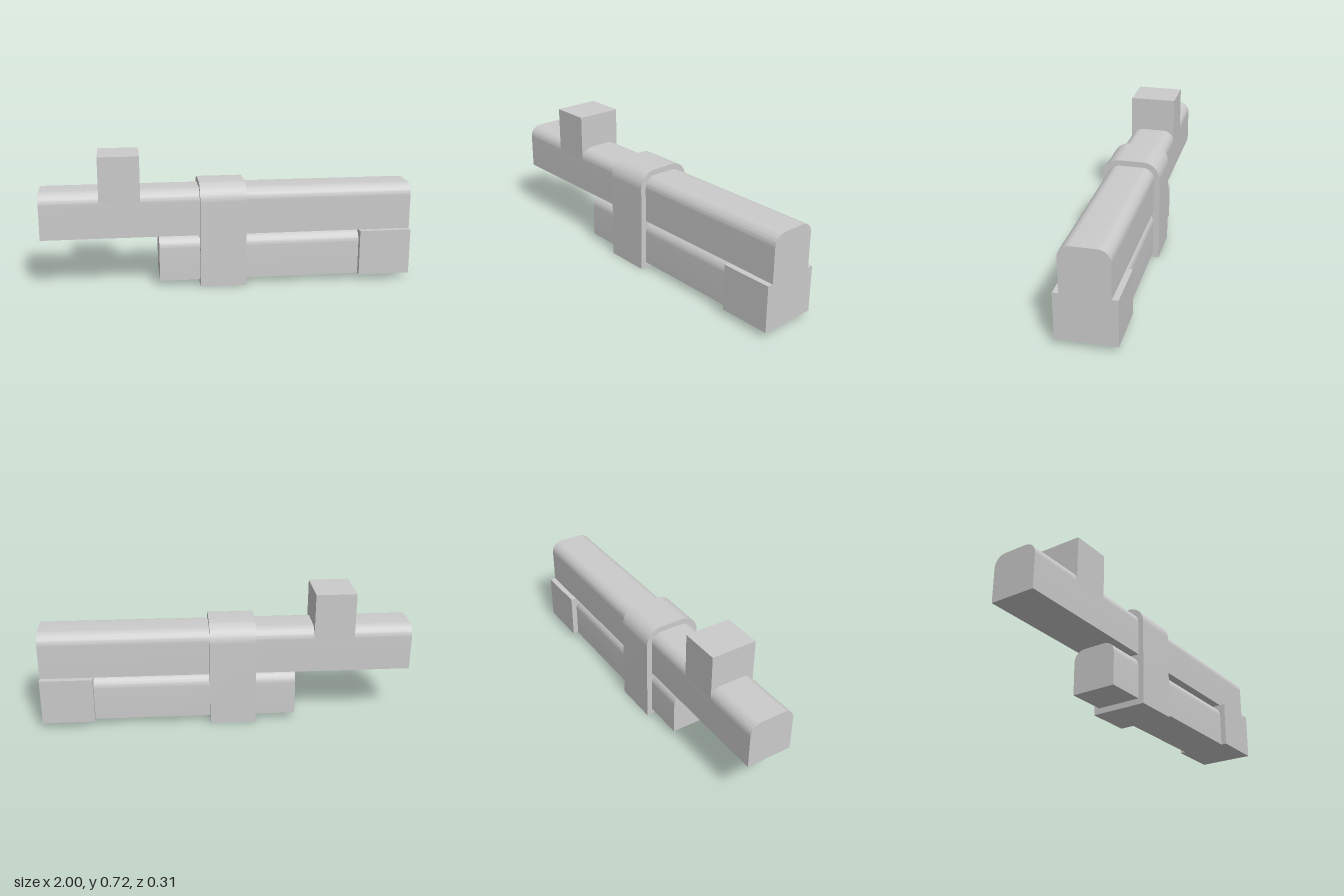
import * as THREE from 'three';
import { toCreasedNormals } from 'three/addons/utils/BufferGeometryUtils.js';

const material = new THREE.MeshStandardMaterial({ color: 0xcccccc });

// Bar running along x from x0 to x1, with its two upper long edges rounded
function roundedBar(name, x0, x1, y0, y1, halfWidth, radius) {
  const s = new THREE.Shape();
  s.moveTo(-halfWidth, y0);
  s.lineTo(halfWidth, y0);
  s.lineTo(halfWidth, y1 - radius);
  s.absarc(halfWidth - radius, y1 - radius, radius, 0, Math.PI / 2, false);
  s.lineTo(-halfWidth + radius, y1);
  s.absarc(-halfWidth + radius, y1 - radius, radius, Math.PI / 2, Math.PI, false);
  s.closePath();
  const extruded = new THREE.ExtrudeGeometry(s, { depth: x1 - x0, bevelEnabled: false, curveSegments: 12 });
  const geometry = toCreasedNormals(extruded, 0.5);
  geometry.rotateY(Math.PI / 2).translate(x0, 0, 0);
  const mesh = new THREE.Mesh(geometry, material);
  mesh.name = name;
  return mesh;
}

// Plain block centred on z = 0
function block(name, x0, x1, y0, y1, halfWidth) {
  const mesh = new THREE.Mesh(new THREE.BoxGeometry(x1 - x0, y1 - y0, halfWidth * 2), material);
  mesh.position.set((x0 + x1) / 2, (y0 + y1) / 2, 0);
  mesh.name = name;
  return mesh;
}

export function createModel() {
  const model = new THREE.Group();
  model.name = 'clampedBars';
  model.add(
    // Two long bars, one above the other with a narrow gap
    roundedBar('upperBar', -1, 1, 0.282, 0.532, 0.125, 0.0625),
    roundedBar('lowerBar', -0.375, 0.73, 0.032, 0.275, 0.125, 0.0625),
    // Band wrapped around both bars
    roundedBar('band', -0.156, 0.092, 0, 0.563, 0.156, 0.094),
    // Wider block closing the end of the lower bar
    block('endBlock', 0.718, 1, 0.032, 0.282, 0.156),
    // Upright post, flush with the sides of the upper bar
    block('post', -0.688, -0.47, 0.47, 0.72, 0.125),
  );
  return model;
}
